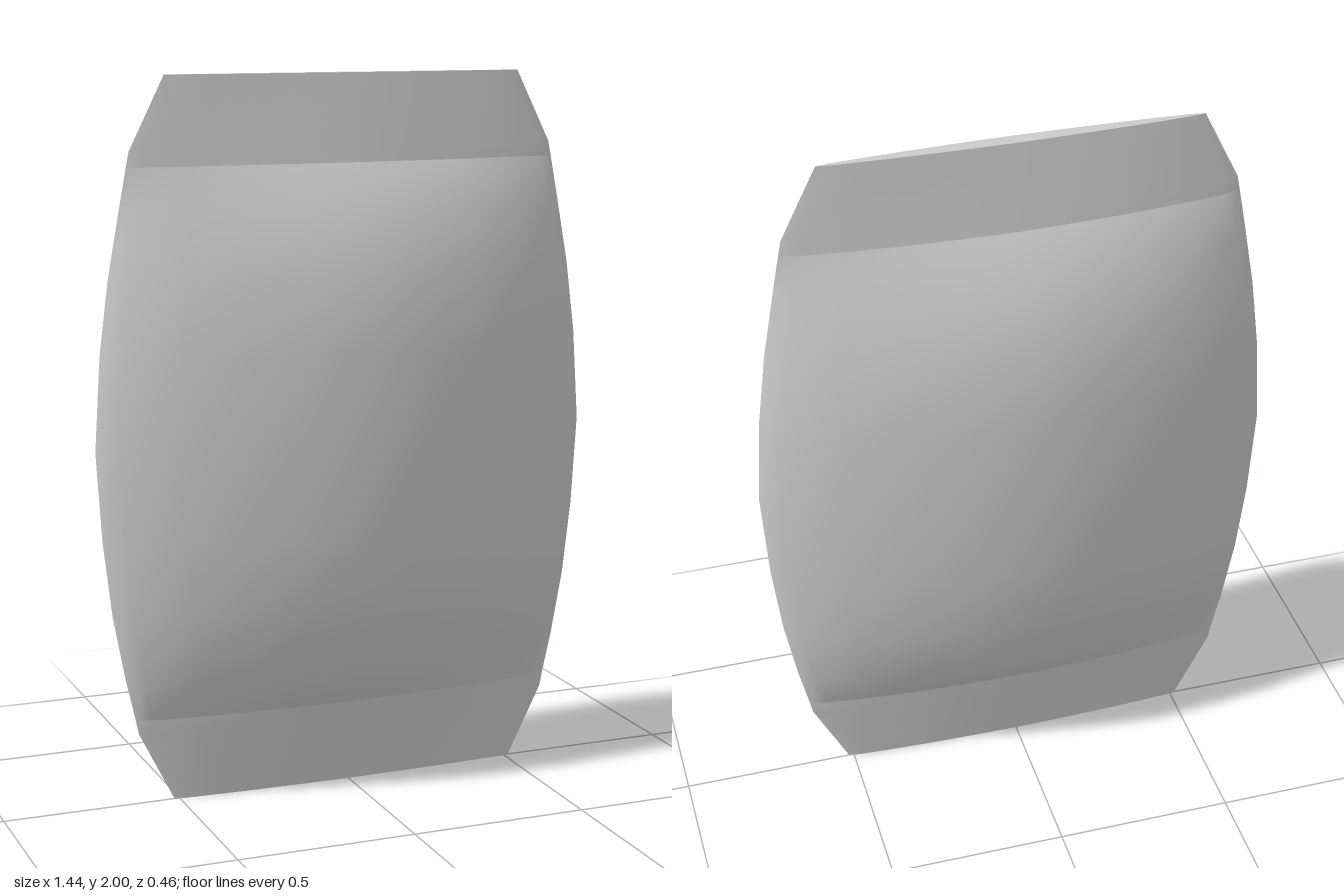
import * as THREE from 'three';

// Half of the lens-shaped cross-section: [fraction of half width, fraction of half depth]
const HALF = [[0, 1], [0.245, 0.93], [0.485, 0.79], [0.72, 0.575], [0.935, 0.27], [1, 0]];
const LENS = [...HALF.slice(1).reverse().map(([u, d]) => [-u, d]), ...HALF];

// Cross-section sizes up the packet: [y, half width, half depth]
const LOWER_SEAL = [[0, 0.515, 0.02], [0.2, 0.615, 0.049], [0.24, 0.623, 0.055]];
const BODY = [
  [0.24, 0.623, 0.055], [0.36, 0.65, 0.14], [0.54, 0.683, 0.2], [0.75, 0.707, 0.222],
  [1, 0.722, 0.23],
  [1.26, 0.705, 0.222], [1.46, 0.679, 0.198], [1.64, 0.646, 0.134], [1.76, 0.623, 0.055],
];
const UPPER_SEAL = LOWER_SEAL.map(([y, w, d]) => [2 - y, w, d]).reverse();

// Smooth sheet through the front halves of the given cross-sections
function panelGeometry(rows) {
  const positions = [], indices = [], n = LENS.length;
  for (const [y, w, d] of rows) {
    for (const [u, v] of LENS) positions.push(u * w, y, v * d);
  }
  for (let r = 0; r < rows.length - 1; r++) {
    for (let c = 0; c < n - 1; c++) {
      const a = r * n + c, b = a + 1, e = a + n, f = e + 1;
      indices.push(a, b, f, a, f, e);
    }
  }
  const geometry = new THREE.BufferGeometry();
  geometry.setAttribute('position', new THREE.Float32BufferAttribute(positions, 3));
  geometry.setIndex(indices);
  geometry.computeVertexNormals();
  return geometry;
}

// Thin lens that closes one end
function endGeometry([, w, d]) {
  const front = LENS.map(([u, v]) => new THREE.Vector2(u * w, v * d));
  const back = LENS.slice(1, -1).reverse().map(([u, v]) => new THREE.Vector2(u * w, -v * d));
  return new THREE.ShapeGeometry(new THREE.Shape([...front, ...back]));
}

export function createModel() {
  const model = new THREE.Group();
  model.name = 'packet';
  const material = new THREE.MeshStandardMaterial({ color: 0xcccccc, side: THREE.DoubleSide });
  const add = (name, geometry, parent) => {
    const mesh = new THREE.Mesh(geometry, material);
    mesh.name = name;
    parent.add(mesh);
    return mesh;
  };

  // Front and back sheets, each a puffed panel between two flat seals
  for (const side of ['front', 'back']) {
    const sheet = new THREE.Group();
    sheet.name = side + 'Sheet';
    add(side + 'LowerSeal', panelGeometry(LOWER_SEAL), sheet);
    add(side + 'Panel', panelGeometry(BODY), sheet);
    add(side + 'UpperSeal', panelGeometry(UPPER_SEAL), sheet);
    if (side === 'back') sheet.rotation.y = Math.PI;
    model.add(sheet);
  }

  // Closed ends
  const top = add('topEdge', endGeometry(UPPER_SEAL[2]), model);
  top.rotation.x = -Math.PI / 2;
  top.position.y = 2;
  add('bottomEdge', endGeometry(LOWER_SEAL[0]), model).rotation.x = Math.PI / 2;

  return model;
}
